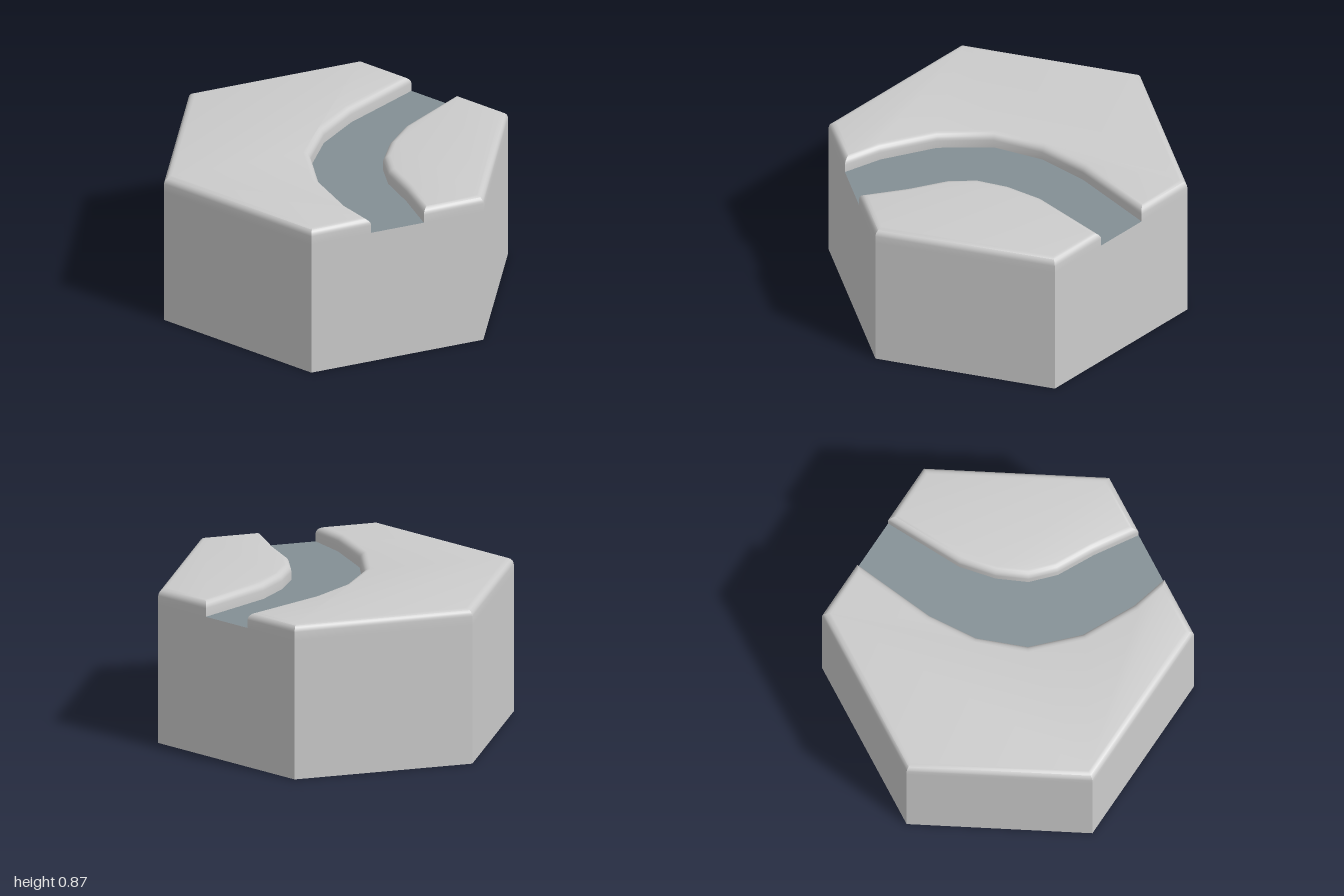
import * as THREE from 'three';
import { toCreasedNormals } from 'three/addons/utils/BufferGeometryUtils.js';

const FLOOR = 0.78, TOP = 0.866, BEVEL = 0.04, STEPS = 5, CREASE = 0.6;
const S = Math.sqrt(3) / 2;

// Channel edges as [x, z], running from the left side to the front right side
const outerEdge = [[S, -0.155], [0.38, -0.19], [0.1, -0.16], [-0.16, -0.05], [-0.37, 0.17], [-0.51, 0.46], [-0.565, 0.674]];
const innerEdge = [[S, 0.15], [0.41, 0.15], [0.21, 0.2], [0.05, 0.28], [-0.06, 0.4], [-0.16, 0.6], [-0.3, 0.827]];
const hexagon = [[S, -0.5], [0, -1], [-S, -0.5], [-S, 0.5], [0, 1], [S, 0.5]];

// Outline seen from above, always counter-clockwise
function outline(points) {
  const list = points.map(([x, z]) => new THREE.Vector2(x, -z));
  return THREE.ShapeUtils.isClockWise(list) ? list.reverse() : list;
}

// Mitred inset of a counter-clockwise outline
function inset(points, d) {
  const n = points.length;
  return points.map((p, i) => {
    const a = p.clone().sub(points[(i + n - 1) % n]).normalize();
    const b = points[(i + 1) % n].clone().sub(p).normalize();
    const m = new THREE.Vector2(-a.y - b.y, a.x + b.x);
    return p.clone().addScaledVector(m, d / (1 + a.dot(b)));
  });
}

// Stack of rings given as [height, inset], with optional top and bottom faces
function solid(points, profile, top, bottom) {
  const pos = [];
  const rings = profile.map(([y, d]) => inset(points, d).map((p) => [p.x, y, -p.y]));
  const tri = (a, b, c) => pos.push(...a, ...b, ...c);
  for (let k = 0; k < rings.length - 1; k++) {
    const lo = rings[k], hi = rings[k + 1];
    lo.forEach((p, i) => {
      const j = (i + 1) % lo.length;
      tri(p, lo[j], hi[j]);
      tri(p, hi[j], hi[i]);
    });
  }
  const last = rings[rings.length - 1];
  for (const [a, b, c] of THREE.ShapeUtils.triangulateShape(points, [])) {
    if (top) tri(last[a], last[b], last[c]);
    if (bottom) tri(rings[0][a], rings[0][c], rings[0][b]);
  }
  const geometry = new THREE.BufferGeometry();
  geometry.setAttribute('position', new THREE.Float32BufferAttribute(pos, 3));
  return toCreasedNormals(geometry, CREASE);
}

export function createModel() {
  const group = new THREE.Group();
  const stone = new THREE.MeshStandardMaterial({ color: 0xcccccc });
  const water = new THREE.MeshStandardMaterial({ color: 0x838f94 });
  const add = (name, geometry, material) => {
    const mesh = new THREE.Mesh(geometry, material);
    mesh.name = name;
    group.add(mesh);
  };

  // Hexagonal block below the channel floor
  add('base', solid(outline(hexagon), [[0, 0], [FLOOR, 0]], false, true), stone);

  // Raised banks with a rounded upper edge
  const rounded = [[FLOOR, 0]];
  for (let i = 0; i <= STEPS; i++) {
    const t = (i / STEPS) * Math.PI / 2;
    rounded.push([TOP - BEVEL + BEVEL * Math.sin(t), BEVEL * (1 - Math.cos(t))]);
  }
  const backBank = [...outerEdge, hexagon[3], hexagon[2], hexagon[1], hexagon[0]];
  const frontBank = [...innerEdge, hexagon[4], hexagon[5]];
  add('backBank', solid(outline(backBank), rounded, true, false), stone);
  add('frontBank', solid(outline(frontBank), rounded, true, false), stone);

  // Curved river bed between the banks
  const bed = outline([...outerEdge, ...innerEdge.slice().reverse()]);
  add('river', solid(bed, [[FLOOR, 0]], true, false), water);

  return group;
}
